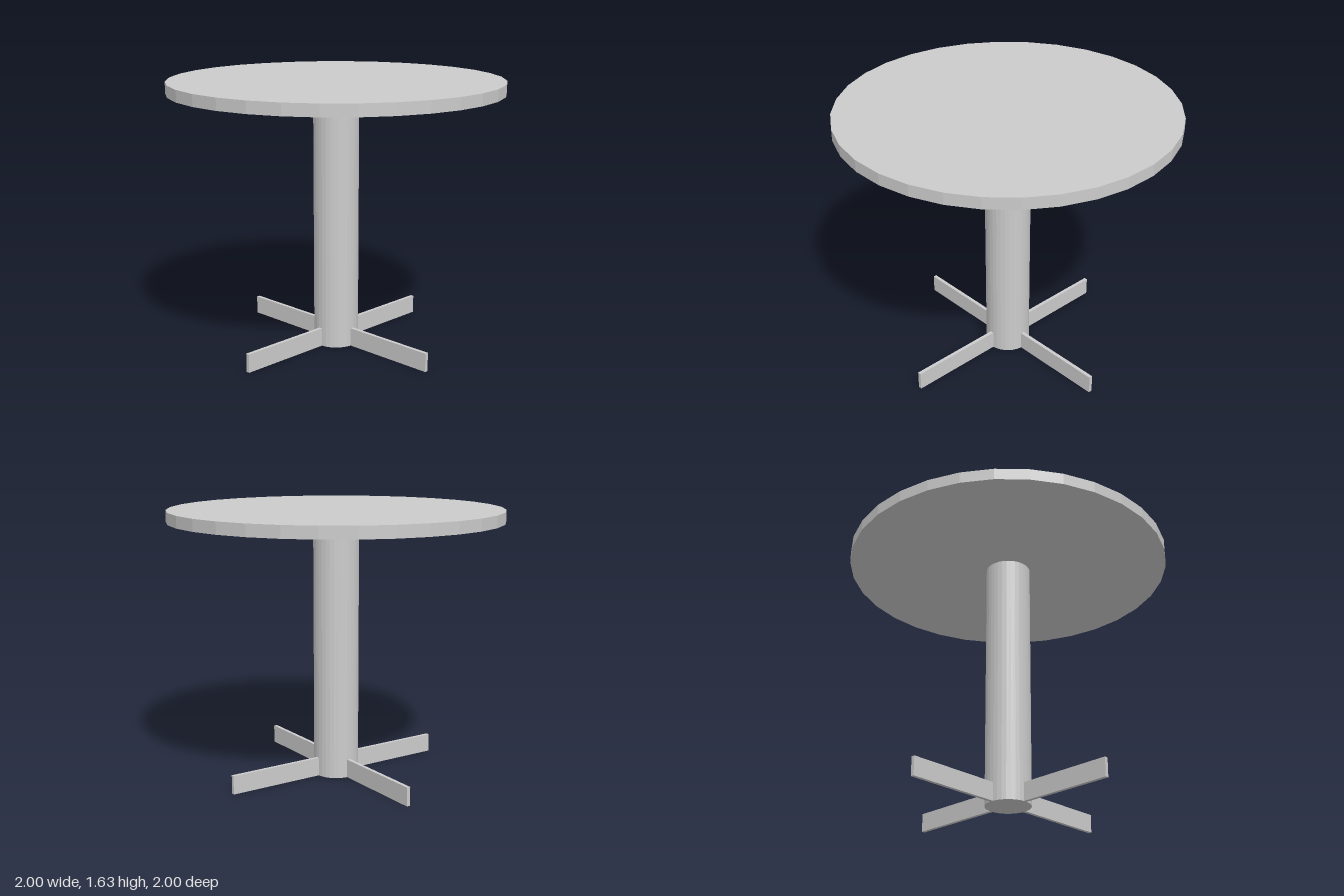
import * as THREE from 'three';

export function createModel() {
  const group = new THREE.Group();
  const material = new THREE.MeshStandardMaterial({ color: 0xcccccc, flatShading: true });

  const add = (name, geometry, parent = group) => {
    const mesh = new THREE.Mesh(geometry, material);
    mesh.name = name;
    parent.add(mesh);
    return mesh;
  };

  // Upright disc spanning bottom to top
  const disc = (name, radius, bottom, top) => {
    const mesh = add(name, new THREE.CylinderGeometry(radius, radius, top - bottom, 32));
    mesh.position.y = (bottom + top) / 2;
  };

  disc('tableTop', 1, 1.565, 1.635);
  disc('column', 0.137, 0, 1.565);

  // Four thin blade feet, turned slightly off the axes
  const feet = new THREE.Group();
  feet.name = 'feet';
  group.add(feet);
  const inner = 0.12, outer = 0.732, height = 0.113;
  for (let i = 0; i < 4; i++) {
    const geometry = new THREE.BoxGeometry(0.022, height, outer - inner);
    geometry.translate(0, height / 2, (inner + outer) / 2);
    add('foot' + (i + 1), geometry, feet).rotation.y = 0.095 + i * Math.PI / 2;
  }

  return group;
}
